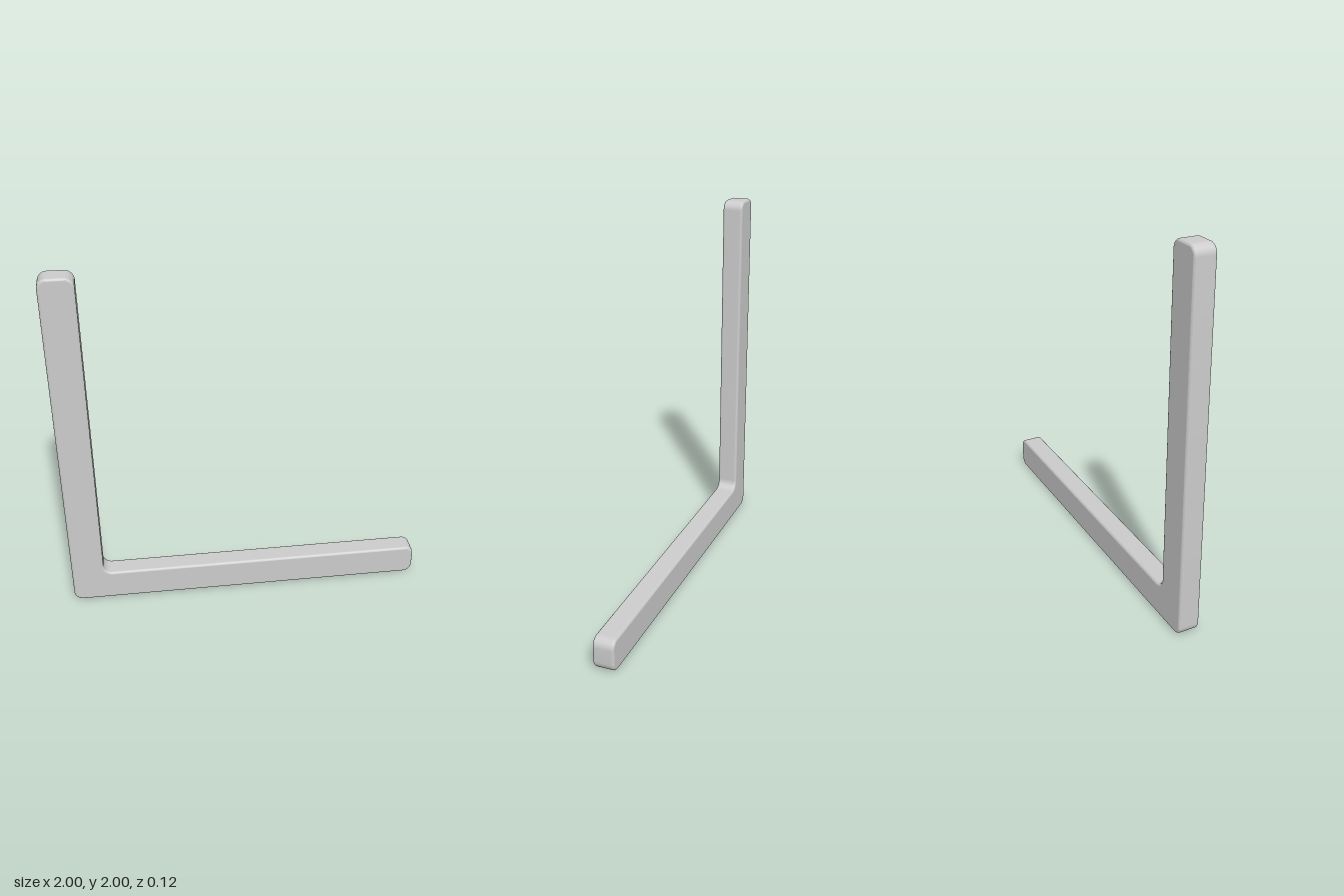
import * as THREE from 'three';
import { toCreasedNormals } from 'three/addons/utils/BufferGeometryUtils.js';

const WIDTH = 0.18, HALF_DEPTH = 0.058, RADIUS = 0.05, BEVEL = 0.014;

// L-shaped outline with every corner rounded, the inner one as a fillet
function outline() {
  const s = new THREE.Shape(), r = RADIUS, q = Math.PI / 2, inner = -1 + WIDTH;
  s.absarc(-1 + r, r, r, 2 * q, 3 * q);
  s.absarc(1 - r, r, r, 3 * q, 4 * q);
  s.absarc(1 - r, WIDTH - r, r, 0, q);
  s.absarc(inner + r, WIDTH + r, r, 3 * q, 2 * q, true);
  s.absarc(inner - r, 2 - r, r, 0, q);
  s.absarc(-1 + r, 2 - r, r, q, 2 * q);
  return s;
}

// Keep the broad faces and the walls flat, so only the rounded edges are shaded smoothly
function flattenFaces(geometry) {
  const p = geometry.attributes.position, n = geometry.attributes.normal;
  const v = new THREE.Vector3();
  for (let i = 0; i < p.count; i++) {
    const z = p.getZ(i);
    v.fromBufferAttribute(n, i);
    if (Math.abs(z) > HALF_DEPTH - 1e-4) v.set(0, 0, Math.sign(z));
    else if (Math.abs(z) < HALF_DEPTH - BEVEL + 1e-4) v.setZ(0).normalize();
    n.setXYZ(i, v.x, v.y, v.z);
  }
  return geometry;
}

export function createModel() {
  const group = new THREE.Group();
  group.name = 'cornerBracket';

  const depth = 2 * (HALF_DEPTH - BEVEL);
  const solid = new THREE.ExtrudeGeometry(outline(), {
    depth, curveSegments: 8, steps: 1,
    bevelEnabled: true, bevelSize: BEVEL, bevelThickness: BEVEL,
    bevelOffset: -BEVEL, bevelSegments: 5,
  }).translate(0, 0, -depth / 2);

  const bracket = new THREE.Mesh(
    flattenFaces(toCreasedNormals(solid, 0.6)),
    new THREE.MeshStandardMaterial({ color: 0xcccccc })
  );
  bracket.name = 'roundedAngleBar';
  group.add(bracket);
  return group;
}
